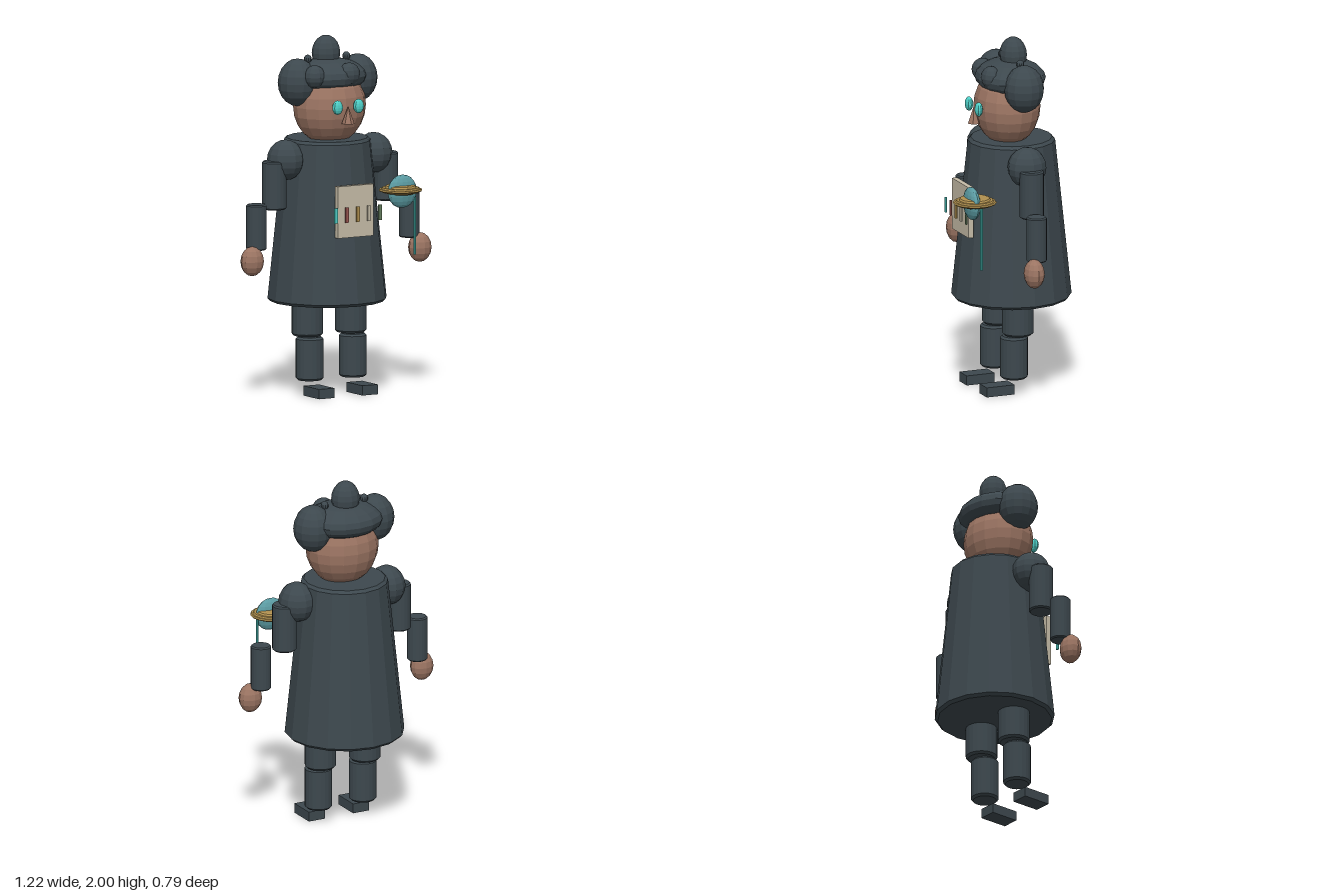
import * as THREE from 'three';

const paint = (color) => new THREE.MeshStandardMaterial({ color, flatShading: true });

export function createModel() {
  const model = new THREE.Group();
  model.name = 'figure';
  const dark = paint(0x3d484e), skin = paint(0x9c7563), cyan = paint(0x4fd0c8);
  const gold = paint(0xb0904f), cream = paint(0xc6bda8), glass = paint(0x5b9ba2);

  const add = (name, geometry, material, x, y, z) => {
    const mesh = new THREE.Mesh(geometry, material);
    mesh.name = name;
    mesh.position.set(x, y, z);
    model.add(mesh);
    return mesh;
  };
  // Faceted ellipsoid given by its three radii
  const ball = (name, material, x, y, z, rx, ry, rz, w = 12, h = 8) =>
    add(name, new THREE.SphereGeometry(1, w, h).scale(rx, ry, rz), material, x, y, z);
  // Closed drum with a small bevel on both rims
  const drum = (name, material, x, z, y0, y1, r0, r1, bevel, sides) => {
    const profile = [
      [0, y0], [r0 - bevel, y0], [r0, y0 + bevel],
      [r1, y1 - bevel], [r1 - bevel, y1], [0, y1],
    ].map(([r, y]) => new THREE.Vector2(r, y));
    return add(name, new THREE.LatheGeometry(profile, sides), material, x, 0, z);
  };

  // Coat
  drum('coat', dark, 0, -0.067, 0.515, 1.43, 0.334, 0.243, 0.016, 16);

  // Head and face
  ball('head', skin, 0, 1.61, -0.04, 0.21, 0.22, 0.182, 16, 12);
  const nose = new THREE.ConeGeometry(0.036, 0.1, 6);
  add('nose', nose, skin, 0, 1.58, 0.16);

  // Hair: cap, top bun and two loose curls
  ball('hairCap', dark, 0, 1.775, -0.06, 0.23, 0.1, 0.192, 16, 10);
  ball('topBun', dark, 0, 1.9, -0.078, 0.08, 0.1, 0.076, 12, 10);
  ball('curl', dark, -0.147, 1.79, 0.045, 0.06, 0.065, 0.06);
  ball('curl', dark, 0.054, 1.795, 0.08, 0.065, 0.065, 0.055);

  // Mirrored parts
  for (const s of [1, -1]) {
    ball('eye', cyan, s * 0.068, 1.625, 0.16, 0.033, 0.04, 0.022, 10, 8);
    ball('sidePuff', dark, s * 0.195, 1.75, -0.06, 0.11, 0.133, 0.112, 14, 10);
    ball('hairBead', dark, s * 0.125, 1.875, -0.066, 0.022, 0.024, 0.022, 10, 8);
    ball('shoulder', dark, s * 0.285, 1.325, -0.038, 0.102, 0.113, 0.11, 12, 10);
    drum('upperArm', dark, s * 0.362, -0.033, 1.055, 1.325, 0.068, 0.068, 0.008, 20);
    drum('forearm', dark, s * 0.495, -0.005, 0.84, 1.095, 0.057, 0.057, 0.007, 20);
    ball('hand', skin, s * 0.543, 0.783, 0.03, 0.068, 0.083, 0.057);
    drum('thigh', dark, s * 0.14, -0.045, 0.33, 0.6, 0.088, 0.088, 0.012, 20);
    drum('shin', dark, s * 0.14, -0.022, 0.083, 0.326, 0.077, 0.077, 0.012, 20);
    add('foot', new THREE.BoxGeometry(0.1, 0.055, 0.168), dark, s * 0.14, 0.0275, 0.08);
  }

  // Chest panel with a row of small vials in front
  add('chestPanel', new THREE.BoxGeometry(0.232, 0.29, 0.03), cream, 0, 1.05, 0.227);
  [0x4fd0c8, 0x9a5650, 0xb0904f, 0xc6bda8, 0x66805f].forEach((color, i) => {
    const vial = new THREE.CylinderGeometry(0.013, 0.013, 0.085, 8).scale(1, 1, 0.45);
    add('vial', vial, paint(color), (i - 2) * 0.071, 1.037, 0.268);
  });

  // Terraced dish holding a flattened lens, with a rod hanging from it
  const dishProfile = [
    [0, 1.132], [0.075, 1.132], [0.082, 1.14], [0.1, 1.14], [0.107, 1.147], [0.117, 1.147],
    [0.122, 1.153], [0.117, 1.16], [0.107, 1.16], [0.102, 1.168], [0.088, 1.168],
    [0.082, 1.178], [0.07, 1.182], [0, 1.182],
  ].map(([r, y]) => new THREE.Vector2(r, y));
  add('dish', new THREE.LatheGeometry(dishProfile, 16), gold, 0.272, 0, 0.272);
  ball('lens', glass, 0.272, 1.148, 0.29, 0.093, 0.093, 0.037, 14, 10);
  add('rod', new THREE.CylinderGeometry(0.008, 0.008, 0.37, 8), cyan, 0.365, 0.97, 0.272);

  return model;
}
